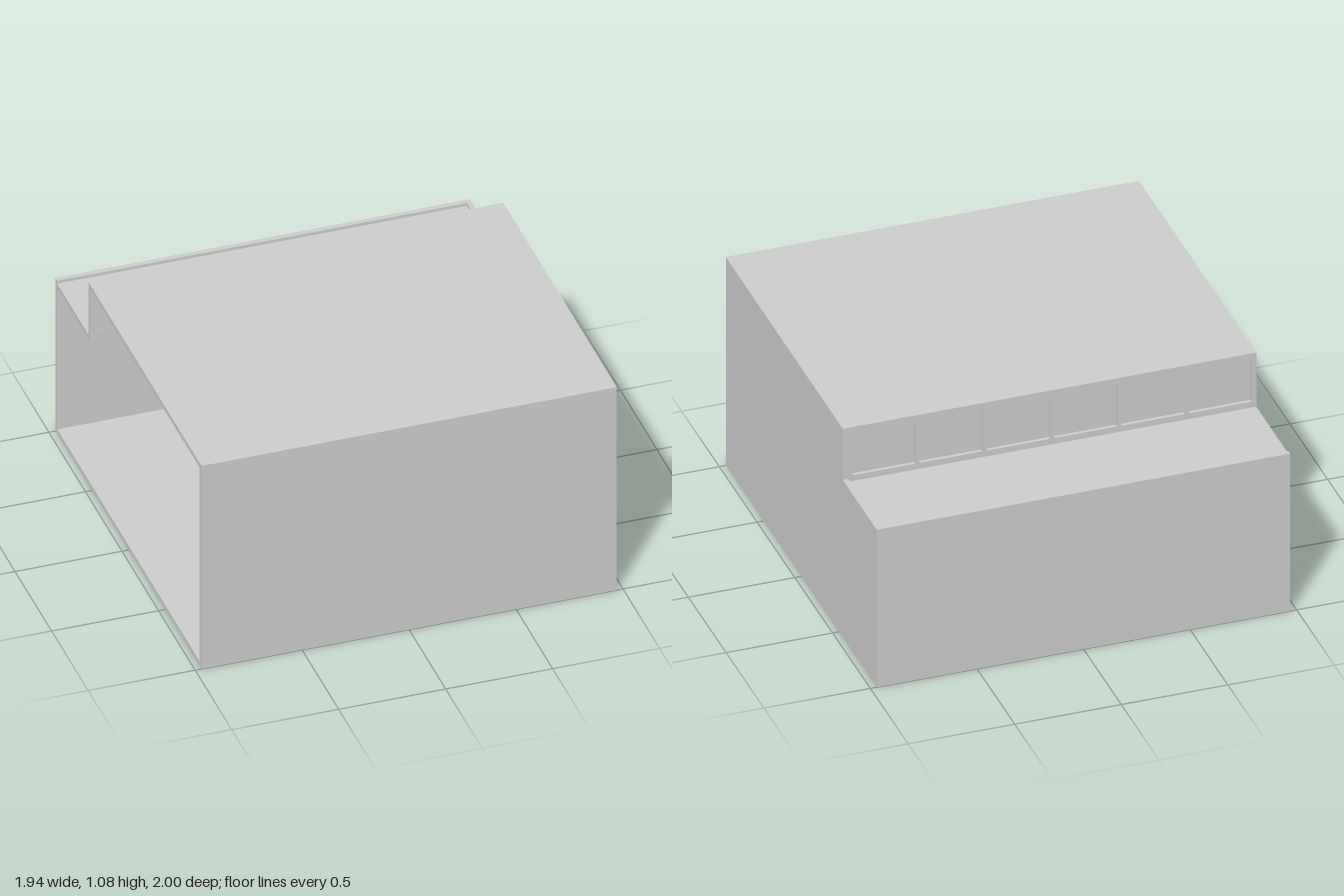
import * as THREE from 'three';

export function createModel() {
  const model = new THREE.Group();
  const material = new THREE.MeshStandardMaterial({ color: 0xcccccc });

  const X = 0.97, H = 1.08, T = 0.025;  // half width, full height, wall thickness
  const stepZ = -0.55, stepY = 0.815;   // where the roof drops to the rear deck
  const deckY = stepY - 0.015;          // deck sits just below the rim

  const add = (name, geometry, parent = model) => {
    const mesh = new THREE.Mesh(geometry, material);
    mesh.name = name;
    parent.add(mesh);
    return mesh;
  };
  // Box given by its lower and upper corners
  const slab = (name, x0, x1, y0, y1, z0, z1, parent) =>
    add(name, new THREE.BoxGeometry(x1 - x0, y1 - y0, z1 - z0), parent)
      .position.set((x0 + x1) / 2, (y0 + y1) / 2, (z0 + z1) / 2);

  // Stepped side wall; the opposite side is left open
  const side = new THREE.Shape([
    [-1, 0], [1, 0], [1, stepY], [-stepZ, stepY], [-stepZ, H], [-1, H],
  ].map(([u, y]) => new THREE.Vector2(u, y)));
  const sideGeometry = new THREE.ExtrudeGeometry(side, { depth: T, bevelEnabled: false });
  sideGeometry.rotateY(Math.PI / 2).translate(X - T, 0, 0);
  add('sideWall', sideGeometry);

  // Shell panels
  const inner = X - T;
  slab('floor', -X, inner, 0, T, -1, 1);
  slab('frontWall', -X, inner, T, H - T, 1 - T, 1);
  slab('backWall', -X, inner, T, stepY, -1, -1 + T);
  slab('roof', -X, inner, H - T, H, stepZ, 1);
  slab('rearDeck', -X, inner, deckY - T, deckY, -1 + T, stepZ + T);

  // Window frame above the deck, with six openings
  const panes = 6, bar = 0.02;
  const y0 = deckY, y1 = H - T;
  const pitch = (X + inner - bar) / panes;
  const frame = new THREE.Shape([
    new THREE.Vector2(-X, y0), new THREE.Vector2(inner, y0),
    new THREE.Vector2(inner, y1), new THREE.Vector2(-X, y1),
  ]);
  for (let i = 0; i < panes; i++) {
    const a = -X + bar + i * pitch, b = a + pitch - bar;
    frame.holes.push(new THREE.Path([
      new THREE.Vector2(a, y0 + 0.03), new THREE.Vector2(a, y1 - 0.005),
      new THREE.Vector2(b, y1 - 0.005), new THREE.Vector2(b, y0 + 0.03),
    ]));
  }
  const windows = new THREE.Group();
  windows.name = 'windowRow';
  model.add(windows);
  add('windowFrame', new THREE.ExtrudeGeometry(frame, { depth: T, bevelEnabled: false })
    .translate(0, 0, stepZ), windows);

  // Recessed panes
  for (let i = 0; i < panes; i++) {
    const a = -X + bar + i * pitch;
    slab('windowPane', a, a + pitch - bar, y0 + 0.03, y1 - 0.005,
      stepZ + T - 0.008, stepZ + T - 0.002, windows);
  }

  return model;
}
